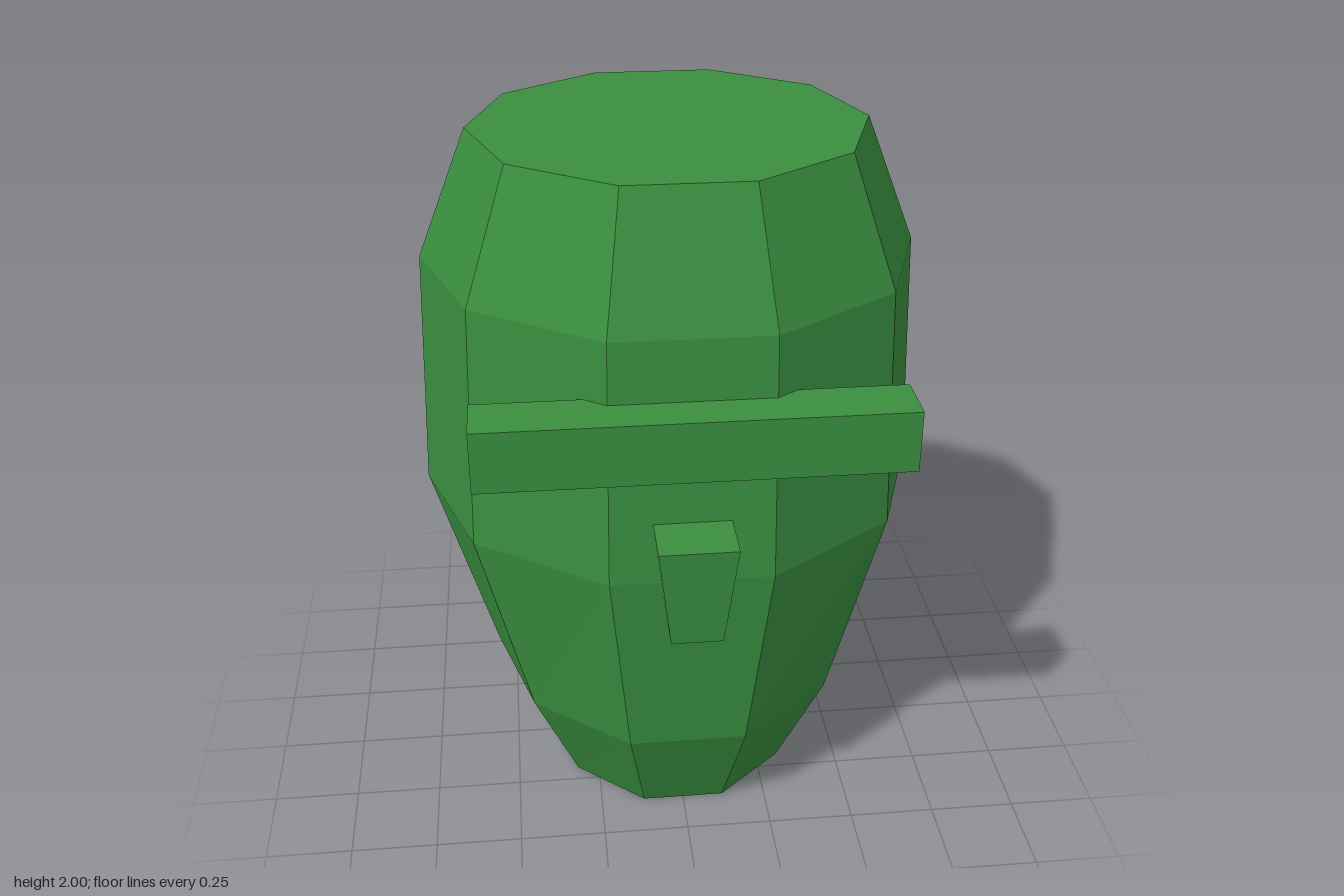
import * as THREE from 'three';

const green = new THREE.MeshStandardMaterial({ color: 0x3a8f40, flatShading: true });

function addPart(group, name, geometry) {
  const flat = geometry.toNonIndexed();
  flat.computeVertexNormals();
  const mesh = new THREE.Mesh(flat, green);
  mesh.name = name;
  group.add(mesh);
  return mesh;
}

// Ten-sided barrel: each ring is [height, x radius, z radius], bottom to top
function barrelGeometry() {
  const rings = [
    [0, 0.39, 0.457],
    [0.33, 0.545, 0.594],
    [0.94, 0.723, 0.675],
    [1.64, 0.695, 0.649],
    [2, 0.55, 0.527],
  ];
  const steps = rings.length - 1;
  const geometry = new THREE.CylinderGeometry(1, 1, 1, 10, steps, false, Math.PI / 2);
  const p = geometry.attributes.position;
  for (let i = 0; i < p.count; i++) {
    const [y, rx, rz] = rings[Math.round((p.getY(i) + 0.5) * steps)];
    p.setXYZ(i, p.getX(i) * rx, y, p.getZ(i) * rz);
  }
  return geometry;
}

// Block tapering towards its lower end, with a flat back against the barrel
function spoutGeometry() {
  const geometry = new THREE.BoxGeometry(1, 1, 1);
  const p = geometry.attributes.position;
  for (let i = 0; i < p.count; i++) {
    const top = p.getY(i) > 0;
    const halfWidth = top ? 0.105 : 0.07;
    const front = top ? 0.715 : 0.69;
    p.setXYZ(i, Math.sign(p.getX(i)) * halfWidth, top ? 1.12 : 0.825, p.getZ(i) > 0 ? front : 0.55);
  }
  return geometry;
}

export function createModel() {
  const model = new THREE.Group();
  model.name = 'barrel';

  // Body sits slightly behind the centre
  addPart(model, 'barrelBody', barrelGeometry()).position.z = -0.072;

  // Horizontal bar across the front
  addPart(model, 'frontBar', new THREE.BoxGeometry(1.13, 0.17, 0.155)).position.set(0, 1.385, 0.588);

  // Small tapered spout below the bar
  addPart(model, 'spout', spoutGeometry());

  return model;
}
